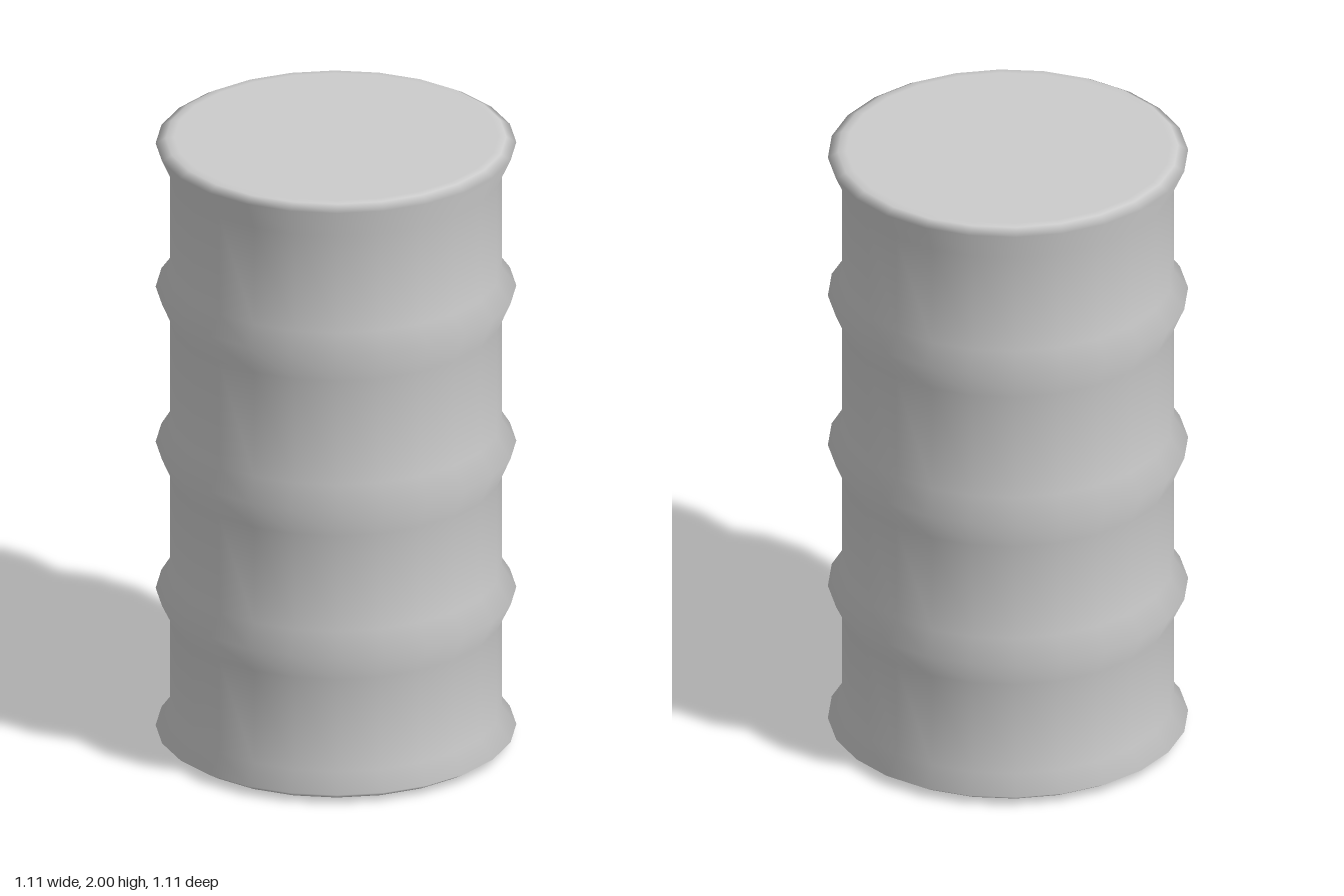
import * as THREE from 'three';

export function createModel() {
  const group = new THREE.Group();
  group.name = 'barrel';
  const material = new THREE.MeshStandardMaterial({ color: 0xcccccc });

  const sides = 24;
  const wall = 0.512;
  const ridge = 0.556;

  // Profile from the centre of the base up to the centre of the lid
  const profile = [[0, 0], [0.49, 0], [0.515, 0.005], [ridge, 0.03], [wall, 0.09]];
  // Three pressed ribs: lower edge, crest, upper edge
  for (const [low, crest, high] of [[0.4, 0.49, 0.56], [0.88, 0.98, 1.05], [1.4, 1.5, 1.56]]) {
    profile.push([wall, low], [ridge, crest], [wall, high]);
  }
  // Flared top rim and flat lid
  profile.push([wall, 1.885], [ridge, 1.98], [0.525, 1.998], [0.5, 2], [0, 2]);

  const points = profile.map(([r, y]) => new THREE.Vector2(r, y));
  const body = new THREE.Mesh(new THREE.LatheGeometry(points, sides), material);
  body.name = 'barrelBody';
  group.add(body);
  return group;
}
